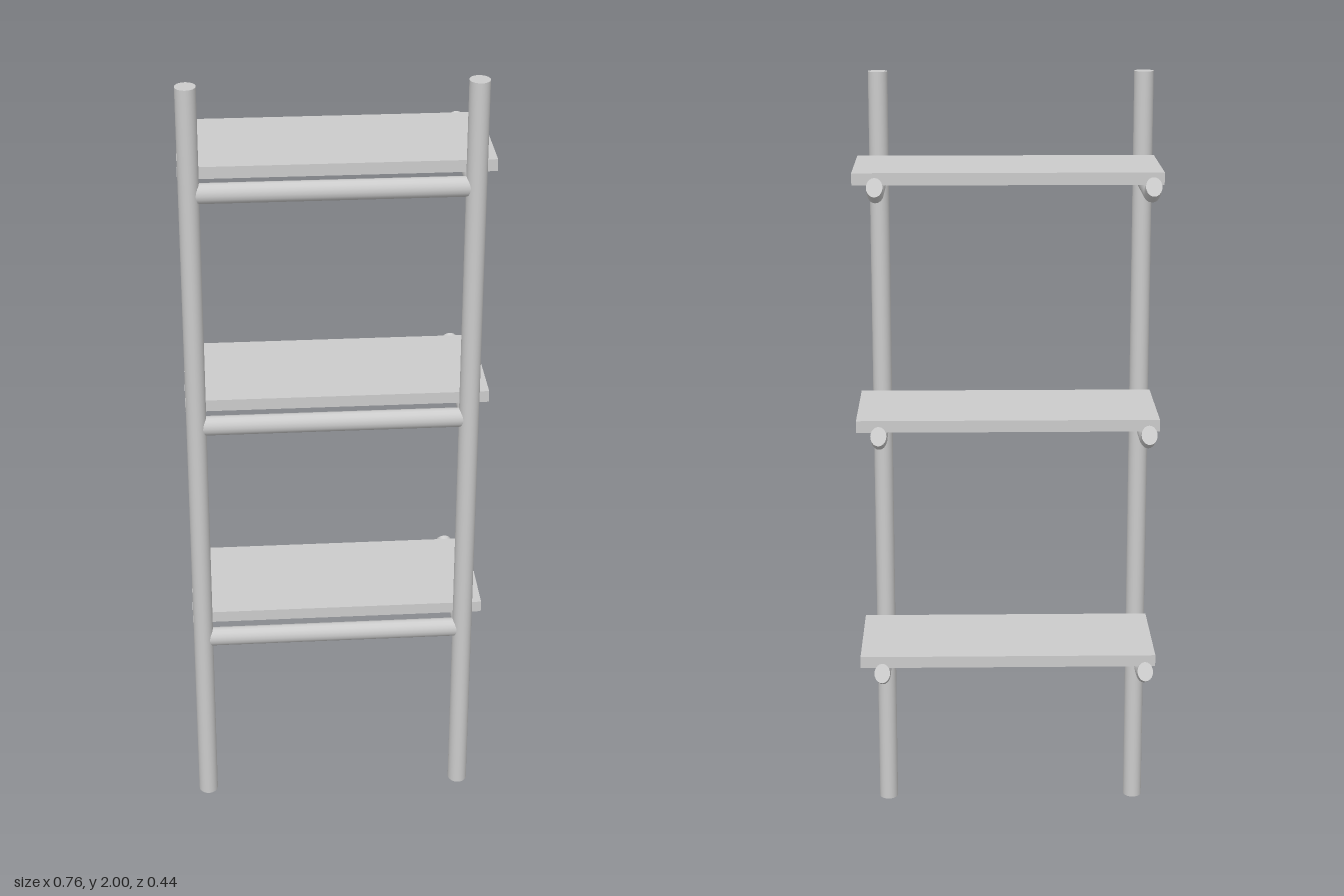
import * as THREE from 'three';

const material = new THREE.MeshStandardMaterial({ color: 0xcccccc });

const POST_X = [-0.354, 0.326];
const POST_Z = 0.19;
const TIER_Y = [0.49, 1.117, 1.736]; // centre height of each tier's tubes

function part(name, geometry, x, y, z) {
  const mesh = new THREE.Mesh(geometry, material);
  mesh.name = name;
  mesh.position.set(x, y, z);
  return mesh;
}

// Oval tube running backward and bending upward at its tip
function armGeometry() {
  // z, y and tilt of each ring, front to back
  const stations = [[POST_Z, 0, 0], [-0.13, 0, 0], [-0.165, 0.005, 0.25], [-0.207, 0.024, 0.52]];
  const last = stations.length - 1;
  const geometry = new THREE.CylinderGeometry(1, 1, 1, 20, last);
  const pos = geometry.attributes.position;
  for (let i = 0; i < pos.count; i++) {
    const [z, y, tilt] = stations[Math.round((pos.getY(i) + 0.5) * last)];
    const rise = pos.getZ(i) * 0.025;
    pos.setXYZ(i, pos.getX(i) * 0.02, y + rise * Math.cos(tilt), z + rise * Math.sin(tilt));
  }
  geometry.computeVertexNormals();
  return geometry;
}

export function createModel() {
  const model = new THREE.Group();
  model.name = 'ladderShelf';

  // Upright posts, slightly oval
  const postGeometry = new THREE.CylinderGeometry(0.025, 0.025, 2, 24).scale(1, 1, 1.16);
  POST_X.forEach((x, i) => {
    model.add(part(i ? 'leftPost' : 'rightPost', postGeometry, x, 1, POST_Z));
  });

  // Parts shared by every tier
  const span = POST_X[1] - POST_X[0];
  const railGeometry = new THREE.CylinderGeometry(0.022, 0.022, span, 16)
    .rotateZ(Math.PI / 2).scale(1, 1.14, 1);
  const boardGeometry = new THREE.BoxGeometry(0.76, 0.03, 0.322);
  const arm = armGeometry();

  TIER_Y.forEach((y, i) => {
    const tier = new THREE.Group();
    tier.name = `tier${i + 1}`;
    tier.position.y = y;
    tier.add(part('crossRail', railGeometry, (POST_X[0] + POST_X[1]) / 2, 0, POST_Z));
    tier.add(part('shelfBoard', boardGeometry, 0, 0.038, -0.004));
    tier.add(part('rightArm', arm, -0.351, 0, 0));
    tier.add(part('leftArm', arm, 0.323, 0, 0));
    model.add(tier);
  });

  return model;
}
